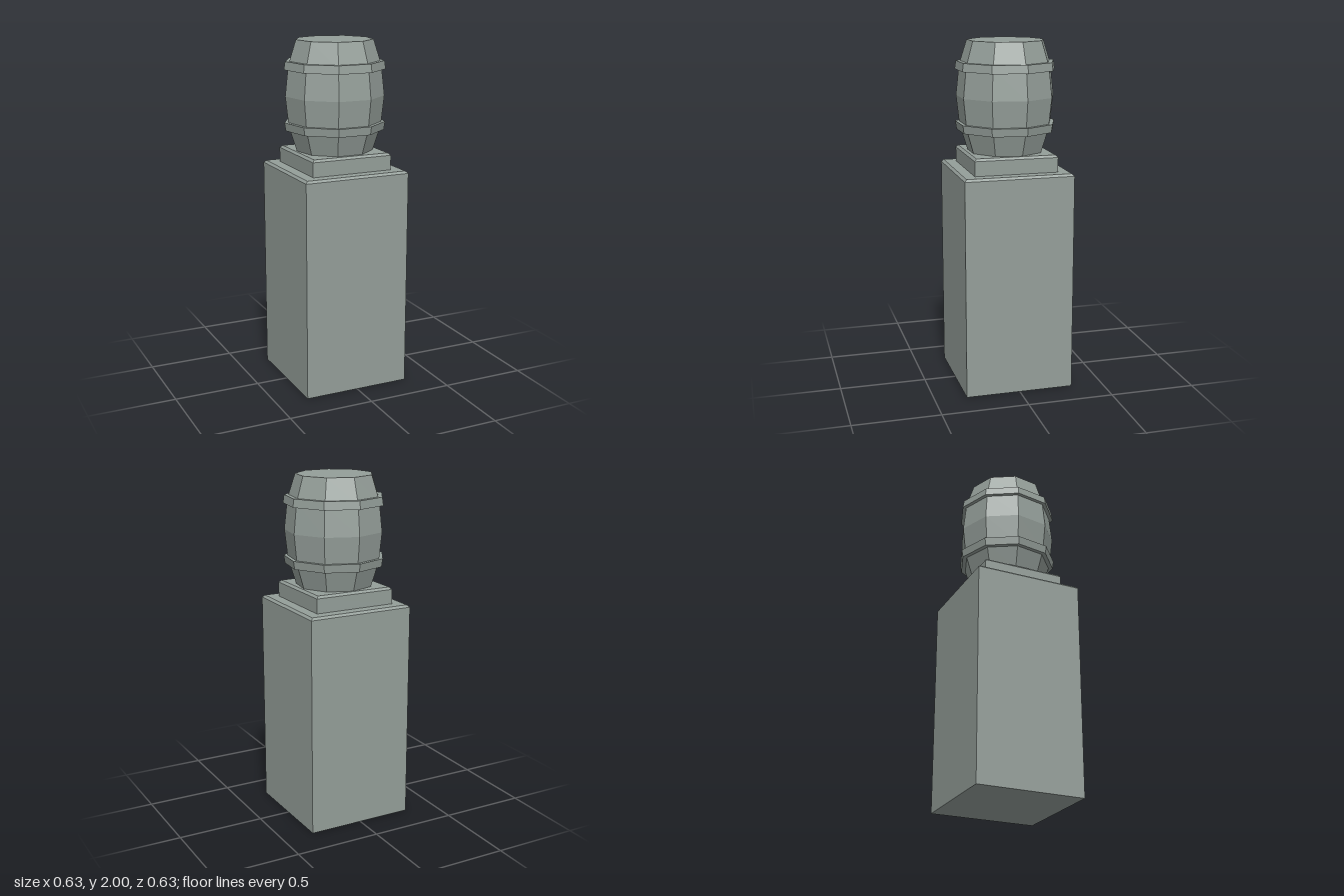
import * as THREE from 'three';

// Greenish-grey stone
const material = new THREE.MeshStandardMaterial({ color: 0x949e99, flatShading: true });

// Faceted solid turned from a bottom-to-top [radius, height] profile
function turned(name, profile, sides, start, scale = 1) {
  const points = profile.map(([r, y]) => new THREE.Vector2(r * scale, y));
  const mesh = new THREE.Mesh(new THREE.LatheGeometry(points, sides, start), material);
  mesh.name = name;
  return mesh;
}

// Square block with a chamfered top edge; half is half its width
function block(name, half, bottom, top, chamfer) {
  const profile = [[0, bottom], [half, bottom], [half, top - chamfer], [half - chamfer, top], [0, top]];
  return turned(name, profile, 4, Math.PI / 4, Math.SQRT2);
}

export function createModel() {
  const group = new THREE.Group();
  group.name = 'barrelOnPedestal';

  // Stepped stone pedestal
  group.add(block('pedestal', 0.315, 0, 1.273, 0.013));
  group.add(block('plinth', 0.241, 1.273, 1.37, 0.013));

  // Nine-sided barrel, one corner towards the back
  const barrel = new THREE.Group();
  barrel.name = 'barrel';
  const middle = 1.685;
  const staves = [[0, -0.315], [0.221, -0.315], [0.266, -0.174], [0.285, 0], [0.266, 0.174], [0.221, 0.315], [0, 0.315]];
  barrel.add(turned('barrelBody', staves.map(([r, y]) => [r, middle + y]), 9, Math.PI));

  // Two hoops, mirrored about the barrel's middle
  const hoop = [[0.25, 0.149], [0.291, 0.149], [0.284, 0.196], [0.25, 0.196]];
  const mirrored = hoop.map(([r, y]) => [r, -y]).reverse();
  barrel.add(turned('upperHoop', hoop.map(([r, y]) => [r, middle + y]), 9, Math.PI));
  barrel.add(turned('lowerHoop', mirrored.map(([r, y]) => [r, middle + y]), 9, Math.PI));
  group.add(barrel);

  return group;
}
